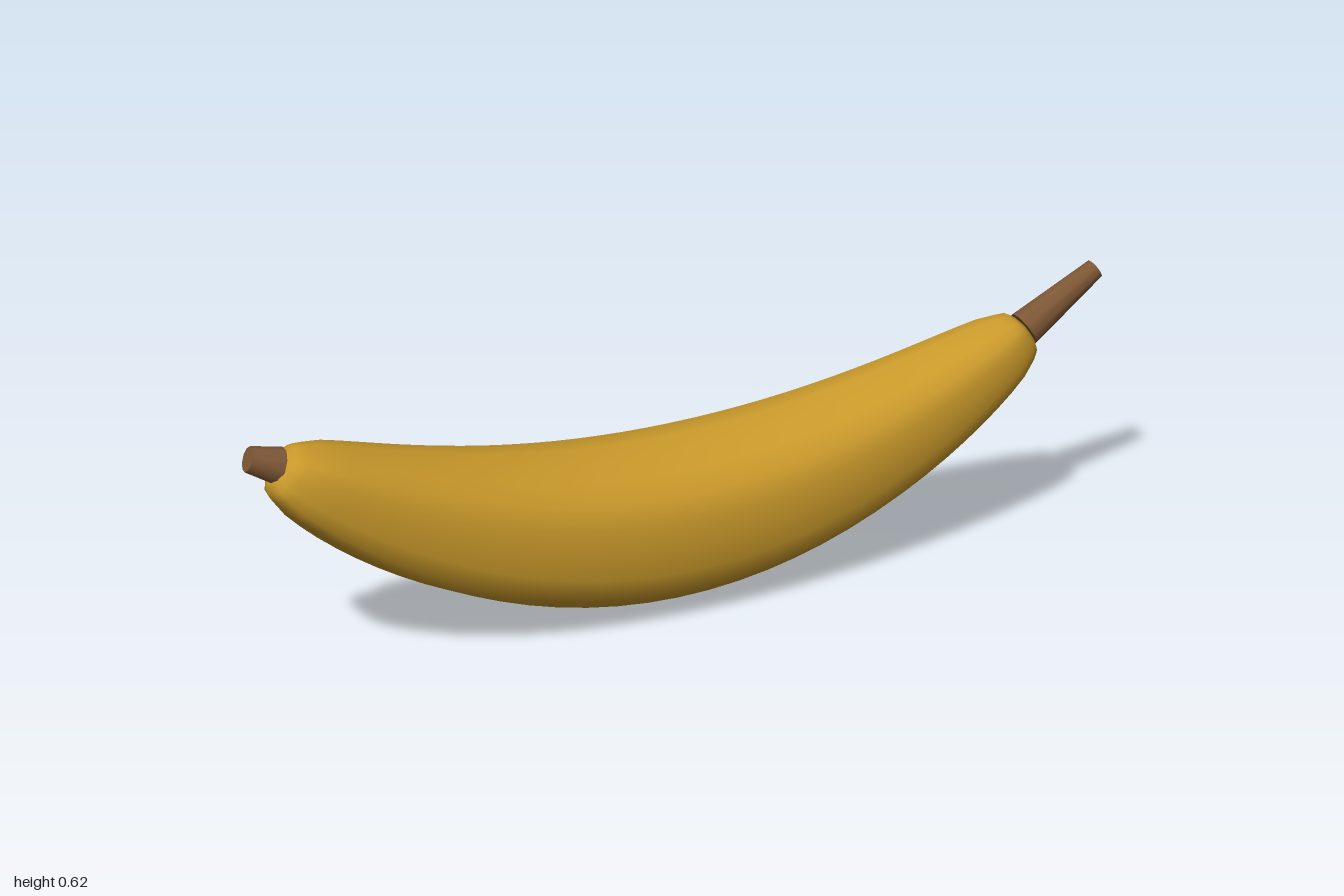
import * as THREE from 'three';

const peel = new THREE.MeshStandardMaterial({ color: 0xc8982a });
peel.name = 'yellow peel';
const bark = new THREE.MeshStandardMaterial({ color: 0x7d5735 });
bark.name = 'brown stem';

const HALF = 0.8425, MID_X = -0.0625, SIDES = 20, STEPS = 32;

// centreline: a parabola curving up, and slightly forward, at both ends (u from -1 to 1)
const centre = (u) => new THREE.Vector3(MID_X + HALF * u, 0.185 + 0.287 * u * u, 0.01 + 0.055 * u * u);
const slope = (u) => Math.atan2(2 * 0.287 * u, HALF);
const radius = (u) => 0.184 * (0.36 + 0.64 * Math.pow(Math.max(0, Math.cos(u * Math.PI / 2)), 0.7));

// five-ridged cross-sections swept along the centreline, with blunt rounded ends
function bodyGeometry() {
  const rings = [];
  for (let i = 0; i <= STEPS; i++) {
    const u = -Math.cos((i / STEPS) * Math.PI) * 0.4 + (2 * i / STEPS - 1) * 0.6;
    rings.push({ c: centre(u), a: slope(u), r: radius(u) });
  }
  const cap = (end, dir) => [[0.02, 0.055], [0.031, 0.036], [0.033, 0.0005]].map(([d, r]) => ({
    c: end.c.clone().add(new THREE.Vector3(Math.cos(end.a), Math.sin(end.a), 0).multiplyScalar(d * dir)),
    a: end.a, r
  }));
  const all = [...cap(rings[0], -1).reverse(), ...rings, ...cap(rings[STEPS], 1)];
  const pos = [], index = [];
  all.forEach(({ c, a, r }, i) => {
    for (let j = 0; j < SIDES; j++) {
      const t = (j / SIDES) * Math.PI * 2;
      const k = r * (1 + 0.05 * Math.cos(5 * t));
      const n = k * Math.sin(t);
      pos.push(c.x - Math.sin(a) * n, c.y + Math.cos(a) * n, c.z - k * Math.cos(t));
      if (i < all.length - 1) {
        const p = i * SIDES + j, q = i * SIDES + (j + 1) % SIDES;
        index.push(p, q, p + SIDES, q, q + SIDES, p + SIDES);
      }
    }
  });
  const g = new THREE.BufferGeometry();
  g.setAttribute('position', new THREE.Float32BufferAttribute(pos, 3));
  g.setIndex(index);
  g.computeVertexNormals();
  return g;
}

// tapered plug between two points
function taper(name, from, to, r0, r1) {
  const a = new THREE.Vector3(...from), b = new THREE.Vector3(...to);
  const d = b.clone().sub(a);
  const m = new THREE.Mesh(new THREE.CylinderGeometry(r1, r0, d.length(), 10), bark);
  m.name = name;
  m.position.copy(a).add(b).multiplyScalar(0.5);
  m.quaternion.setFromUnitVectors(new THREE.Vector3(0, 1, 0), d.normalize());
  return m;
}

export function createModel() {
  const group = new THREE.Group();
  group.name = 'banana';
  const body = new THREE.Mesh(bodyGeometry(), peel);
  body.name = 'body';
  group.add(body);
  group.add(taper('stem', [0.808, 0.49, 0.065], [0.986, 0.603, 0.063], 0.043, 0.024));
  group.add(taper('blossomTip', [-0.925, 0.493, 0.065], [-0.989, 0.519, 0.063], 0.039, 0.027));
  return group;
}
